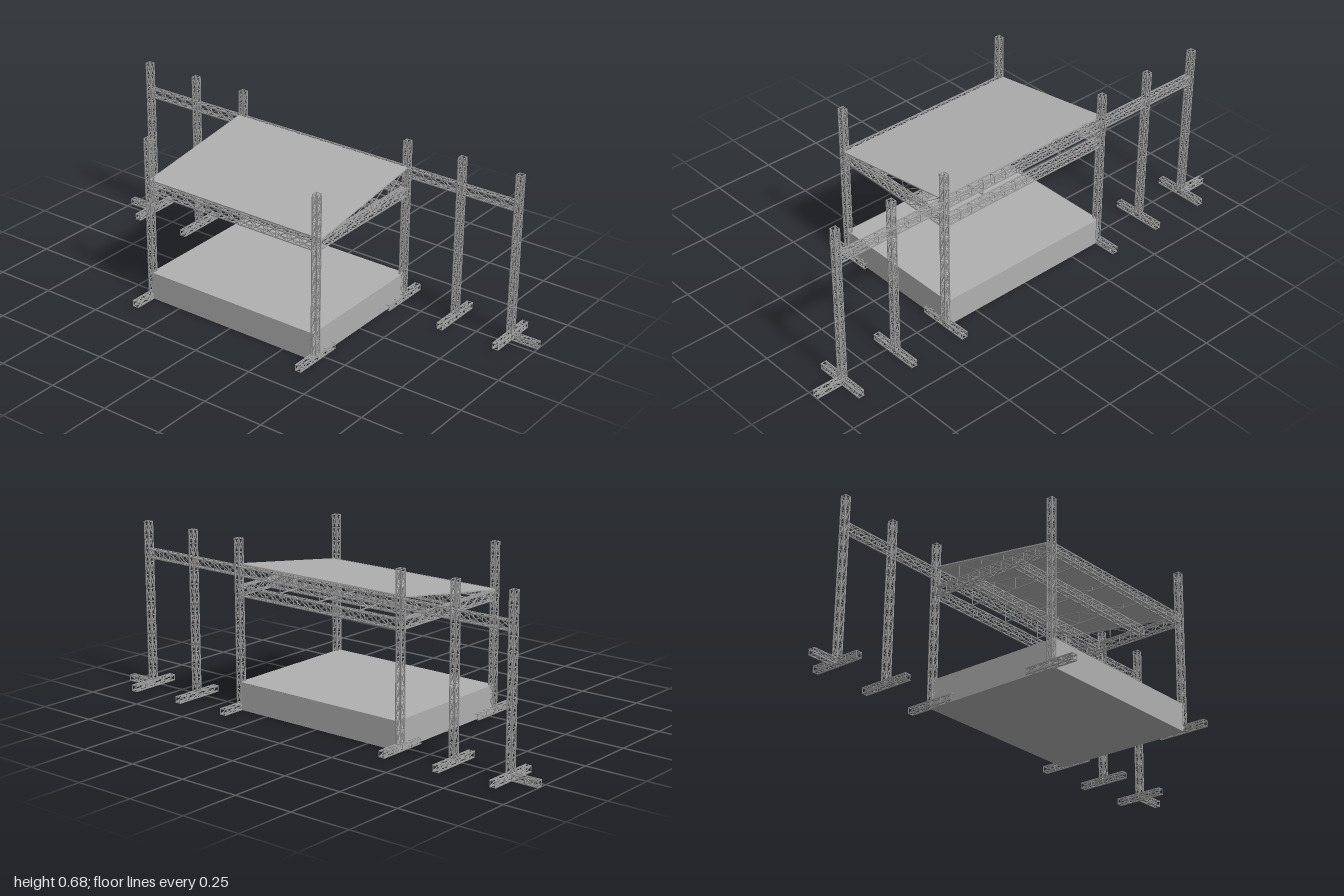
import * as THREE from 'three';
import { mergeGeometries } from 'three/addons/utils/BufferGeometryUtils.js';

const panelGrey = new THREE.MeshStandardMaterial({ color: 0xb0b0b0 });
panelGrey.name = 'panel grey';
const trussGrey = new THREE.MeshStandardMaterial({ color: 0x9c9c9c });
trussGrey.name = 'truss grey';

const CHORD = 0.004, BRACE = 0.0024, W = 0.026;
const TX = 0.391, TZ = 0.285, H = 0.677;
const V = (x, y, z) => new THREE.Vector3(x, y, z);

// Square bar between two points
function bar(a, b, t) {
  const d = b.clone().sub(a);
  const g = new THREE.BoxGeometry(t, d.length(), t);
  g.applyQuaternion(new THREE.Quaternion().setFromUnitVectors(V(0, 1, 0), d.normalize()));
  const c = a.clone().add(b).multiplyScalar(0.5);
  return g.translate(c.x, c.y, c.z);
}

// Box truss along one axis: four chords, cross-braced on all four sides
function truss(name, axis, from, to, center, w = W, h = W, pitch = 0.054) {
  const bars = [];
  const u = (w - CHORD) / 2, v = (h - CHORD) / 2;
  const corners = [[-u, -v], [u, -v], [u, v], [-u, v]];
  const point = (s, [p, q]) => {
    if (axis === 'x') return V(s, center[0] + q, center[1] + p);
    if (axis === 'y') return V(center[0] + p, s, center[1] + q);
    return V(center[0] + p, center[1] + q, s);
  };
  const n = Math.max(1, Math.round((to - from) / pitch));
  const e = BRACE / 2;
  const station = (i) => from + e + ((to - from - 2 * e) * i) / n;
  corners.forEach((c, k) => {
    const d = corners[(k + 1) % 4];
    bars.push(bar(point(from, c), point(to, c), CHORD));
    for (let i = 0; i <= n; i++) {
      bars.push(bar(point(station(i), c), point(station(i), d), BRACE));
      if (i === n) break;
      bars.push(bar(point(station(i), c), point(station(i + 1), d), BRACE));
      bars.push(bar(point(station(i), d), point(station(i + 1), c), BRACE));
    }
  });
  const mesh = new THREE.Mesh(mergeGeometries(bars), trussGrey);
  mesh.name = name;
  return mesh;
}

// Sloping rafter frame carrying the roof
function rafter(x) {
  const z0 = 0.272, n = 5, base = 0.49;
  const zAt = (i) => z0 - (2 * z0 * i) / n;
  const top = (i) => V(x, 0.492 + (0.077 * i) / n, zAt(i));
  const low = (i) => V(x, base, zAt(i));
  const bars = [bar(low(0), low(n), CHORD), bar(top(0), top(n), CHORD)];
  for (let i = 1; i <= n; i++) {
    bars.push(bar(low(i), top(i), BRACE));
    if (i < n) bars.push(bar(low(i), top(i + 1), BRACE));
  }
  const mesh = new THREE.Mesh(mergeGeometries(bars), trussGrey);
  mesh.name = 'roofRafter';
  return mesh;
}

export function createModel() {
  const model = new THREE.Group();
  model.name = 'stage';

  // Stage deck
  const deck = new THREE.Mesh(new THREE.BoxGeometry(0.776, 0.113, 0.592), panelGrey);
  deck.name = 'deck';
  deck.position.y = 0.0565;
  model.add(deck);

  // Sloping roof, higher at the back
  const roof = new THREE.Mesh(new THREE.BoxGeometry(0.806, 0.005, Math.hypot(0.544, 0.078)), panelGrey);
  roof.name = 'roof';
  roof.position.y = 0.533;
  roof.rotation.x = Math.atan2(0.078, 0.544);
  model.add(roof);

  // Towers with their feet
  const outerX = 0.877;
  for (const s of [-1, 1]) {
    for (const [x, z] of [[TX, TZ], [TX, -TZ], [0.632, -TZ], [outerX, -TZ]]) {
      model.add(truss('tower', 'y', W, H, [s * x, z]));
      const mid = Math.sign(z) * 0.284;
      model.add(truss('towerFoot', 'z', mid - 0.108, mid + 0.108, [s * x, W / 2]));
    }
    // Outrigger foot beside the outermost tower
    const ends = [s * (outerX + W / 2), s].sort((a, b) => a - b);
    model.add(truss('outriggerFoot', 'x', ends[0], ends[1], [W / 2, -TZ]));
    // Side beam under the roof
    model.add(truss('sideBeam', 'z', -0.272, 0.272, [s * TX, 0.472], W, 0.038));
    // Wing beams between the back towers
    const stops = [TX, 0.632, outerX];
    for (let i = 0; i < 2; i++) {
      const span = [s * (stops[i] + W / 2), s * (stops[i + 1] - W / 2)].sort((a, b) => a - b);
      model.add(truss('wingBeam', 'x', span[0], span[1], [0.55, -TZ], W, 0.038));
    }
  }

  // Cross beams under the roof and the high back beam
  const inner = TX - W / 2;
  for (const z of [TZ, 0.11, -0.11, -TZ]) {
    model.add(truss('crossBeam', 'x', -inner, inner, [0.472, z], W, 0.038));
  }
  model.add(truss('highBackBeam', 'x', -inner, inner, [0.55, -TZ], W, 0.038));

  // Rafters
  for (let i = -2; i <= 2; i++) model.add(rafter(i * 0.195));

  return model;
}
